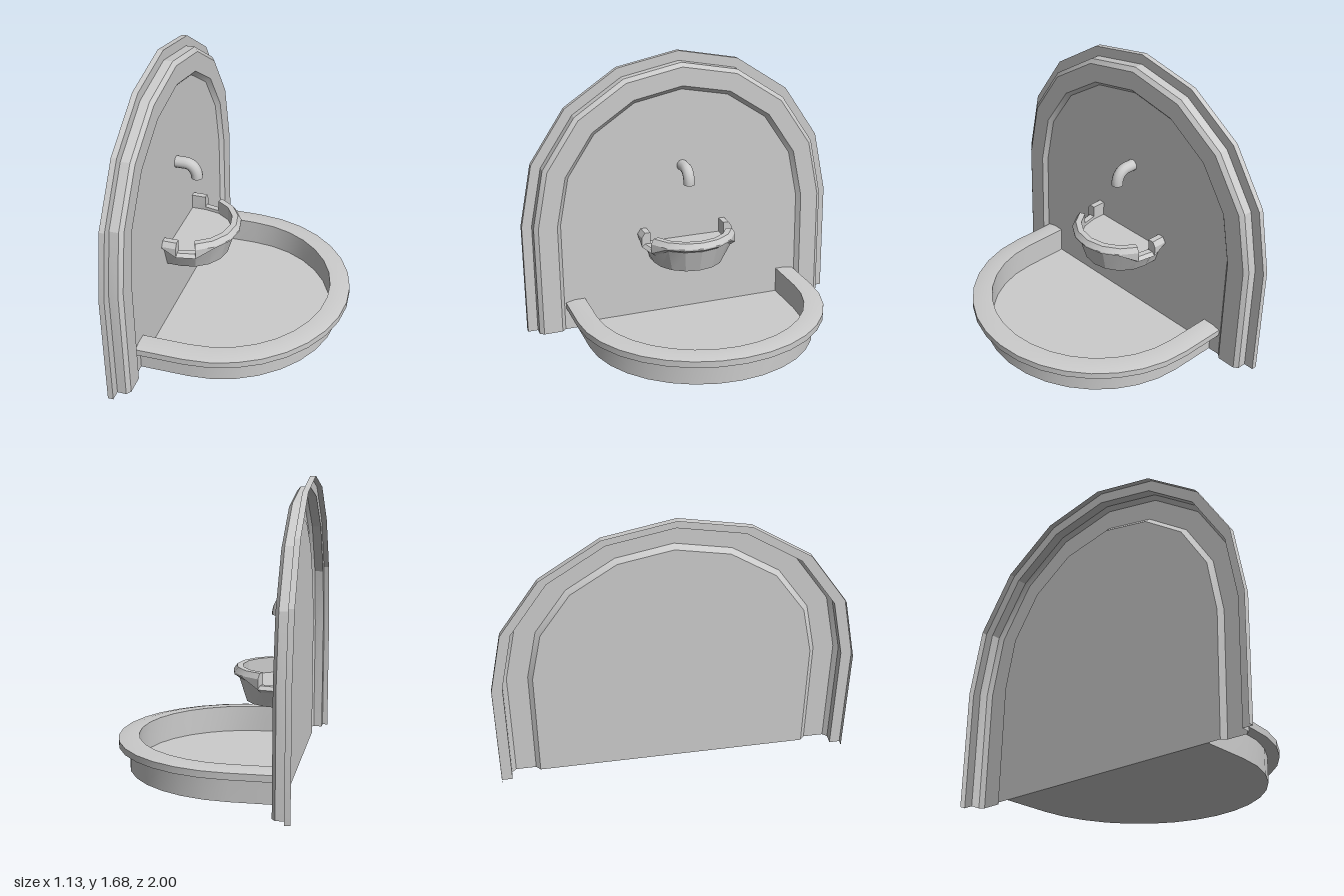
import * as THREE from 'three';
import { toCreasedNormals } from 'three/addons/utils/BufferGeometryUtils.js';

const WALL_X = -0.485; // face of the recessed wall panel
const material = new THREE.MeshStandardMaterial({ color: 0xcccccc, side: THREE.DoubleSide });

// Skin a list of cross-sections, each a list of [x, y, z] points
function loft(name, sections) {
  const pos = [];
  for (let i = 0; i < sections.length - 1; i++) {
    for (let j = 0; j < sections[i].length - 1; j++) {
      const a = sections[i][j], b = sections[i + 1][j];
      const c = sections[i + 1][j + 1], d = sections[i][j + 1];
      pos.push(...a, ...b, ...c, ...a, ...c, ...d);
    }
  }
  const geo = new THREE.BufferGeometry();
  geo.setAttribute('position', new THREE.Float32BufferAttribute(pos, 3));
  const mesh = new THREE.Mesh(toCreasedNormals(geo, 0.35), material);
  mesh.name = name;
  return mesh;
}

// Sweep a profile of [radius, x] around the round-topped arch
function archSweep(name, profile) {
  const spring = 0.69, n = 8;
  const sections = [profile.map(([r, x]) => [x, 0, -r])];
  for (let i = 0; i <= n; i++) {
    const a = (i / n) * Math.PI;
    sections.push(profile.map(([r, x]) => [x, spring + 0.99 * r * Math.sin(a), -r * Math.cos(a)]));
  }
  sections.push(profile.map(([r, x]) => [x, 0, r]));
  return loft(name, sections);
}

// Place a profile of [radius, y] at an angle of a half-round bowl
const ring = (profile, cx, a) =>
  profile.map(([r, y]) => [cx + r * Math.cos(a), y, r * Math.sin(a)]);
// Place the same profile straight against the wall, on side s
const atWall = (profile, s) => profile.map(([r, y]) => [WALL_X, y, s * r]);

function makeBasin() {
  const profile = [[0, 0], [0.7, 0], [0.7, 0.14], [0.765, 0.14], [0.765, 0.178],
    [0.71, 0.19], [0.645, 0.19], [0.645, 0.03], [0, 0.03]];
  const n = 16, sections = [atWall(profile, 1)];
  for (let i = 0; i <= n; i++) sections.push(ring(profile, -0.2, Math.PI * (0.5 - i / n)));
  sections.push(atWall(profile, -1));
  return loft('basin', sections);
}

function makeBowl() {
  // Lip profile for a given underside drop and rim height
  const lip = (drop, top) => [[0, 0.4], [0.22, 0.4], [0.265, 0.54 - drop], [0.295, 0.56 - drop],
    [0.295, Math.max(top - 0.03, 0.56 - drop)], [0.275, top], [0.24, top], [0.24, 0.51], [0, 0.51]];
  const high = lip(0, 0.6), edge = lip(0.05, 0.6), notch = lip(0.05, 0.53);
  const n = 8, cx = -0.4, sections = [atWall(high, 1)];
  for (let i = 0; i <= n; i++) {
    const a = Math.PI * (0.5 - i / n);
    // The rim is cut down over the first and last segment
    let steps = [high];
    if (i === 0 || i === n - 1) steps = [edge, notch];
    if (i === 1 || i === n) steps = [notch, edge];
    steps.forEach((p) => sections.push(ring(p, cx, a)));
  }
  sections.push(atWall(high, -1));
  return loft('bowl', sections);
}

function makeSpout() {
  const spout = new THREE.Group();
  spout.name = 'spout';
  const path = new THREE.CurvePath();
  const v = (x, y) => new THREE.Vector3(x, y, 0);
  path.add(new THREE.LineCurve3(v(WALL_X, 0.98), v(-0.43, 0.98)));
  path.add(new THREE.CubicBezierCurve3(v(-0.43, 0.98), v(-0.39, 0.98), v(-0.36, 0.95), v(-0.36, 0.893)));
  const pipe = new THREE.Mesh(new THREE.TubeGeometry(path, 12, 0.035, 12), material);
  pipe.name = 'spoutPipe';
  const end = new THREE.Mesh(new THREE.CircleGeometry(0.035, 12).rotateX(Math.PI / 2), material);
  end.name = 'spoutEnd';
  end.position.set(-0.36, 0.893, 0);
  spout.add(pipe, end);
  return spout;
}

export function createModel() {
  const group = new THREE.Group();
  group.name = 'wallFountain';
  // Stepped moulding, open at the back
  group.add(archSweep('archFrame', [[1, -0.565], [1, -0.533], [0.94, -0.533], [0.94, -0.48],
    [0.915, -0.46], [0.8, -0.46], [0.775, WALL_X]]));
  group.add(archSweep('wallPanel', [[0.775, WALL_X], [0, WALL_X]]));
  group.add(makeBasin(), makeBowl(), makeSpout());
  return group;
}
